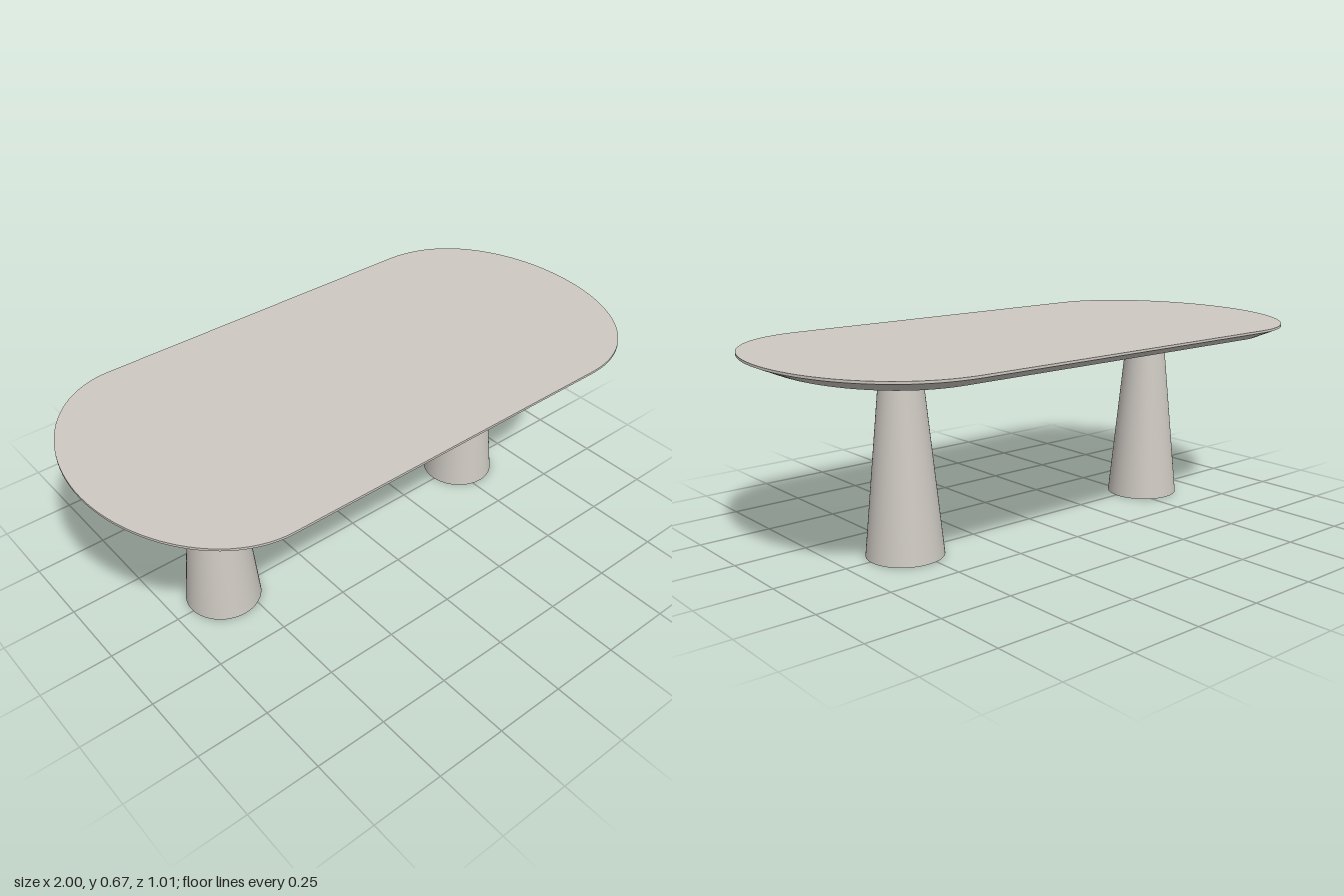
import * as THREE from 'three';
import { toCreasedNormals } from 'three/addons/utils/BufferGeometryUtils.js';

const TOP_Y = 0.668, RIM_Y = 0.66, UNDER_Y = 0.627, BEVEL = 0.077;

// Stadium-like outline of the table top, drawn in x and z, from +x towards +z
function outlinePoints() {
  const s = new THREE.Shape();
  s.moveTo(1, 0);
  s.bezierCurveTo(1, 0.26, 0.86, 0.505, 0.6, 0.505);
  s.lineTo(-0.62, 0.505);
  s.bezierCurveTo(-0.84, 0.505, -1, 0.26, -1, 0);
  s.bezierCurveTo(-1, -0.26, -0.84, -0.505, -0.62, -0.505);
  s.lineTo(0.6, -0.505);
  s.bezierCurveTo(0.86, -0.505, 1, -0.26, 1, 0);
  const points = s.getPoints(24);
  points.pop(); // the last point repeats the first
  return points;
}

// Move a closed outline inwards along its normals
function inset(points, distance) {
  const n = points.length;
  return points.map((p, i) => {
    const t = points[(i + 1) % n].clone().sub(points[(i + n - 1) % n]).normalize();
    return new THREE.Vector2(p.x - t.y * distance, p.y + t.x * distance);
  });
}

// Skin between rings, ordered from the underside centre to the top centre
function tableTopGeometry() {
  const outer = outlinePoints();
  const inner = inset(outer, BEVEL);
  const centre = outer.map(() => new THREE.Vector2());
  const rings = [
    [centre, UNDER_Y], [inner, UNDER_Y], [outer, RIM_Y], [outer, TOP_Y], [centre, TOP_Y],
  ];
  const positions = [];
  const add = ([ring, y], i) => positions.push(ring[i].x, y, ring[i].y);
  for (let r = 0; r < rings.length - 1; r++) {
    const low = rings[r], high = rings[r + 1];
    for (let i = 0; i < outer.length; i++) {
      const j = (i + 1) % outer.length;
      if (low[0] !== centre) { add(low, i); add(high, i); add(low, j); }
      if (high[0] !== centre) { add(low, j); add(high, i); add(high, j); }
    }
  }
  const geometry = new THREE.BufferGeometry();
  geometry.setAttribute('position', new THREE.Float32BufferAttribute(positions, 3));
  return toCreasedNormals(geometry, 0.3);
}

export function createModel() {
  const table = new THREE.Group();
  table.name = 'table';
  const stone = new THREE.MeshStandardMaterial({ color: 0xcdc8c1 });
  stone.name = 'warm grey';

  // Bevelled top
  const top = new THREE.Mesh(tableTopGeometry(), stone);
  top.name = 'tableTop';
  table.add(top);

  // Two tapered round legs
  const legGeometry = new THREE.CylinderGeometry(0.065, 0.128, UNDER_Y, 64);
  for (const [name, x] of [['rightLeg', -0.562], ['leftLeg', 0.533]]) {
    const leg = new THREE.Mesh(legGeometry, stone);
    leg.name = name;
    leg.position.set(x, UNDER_Y / 2, -0.009);
    table.add(leg);
  }
  return table;
}
